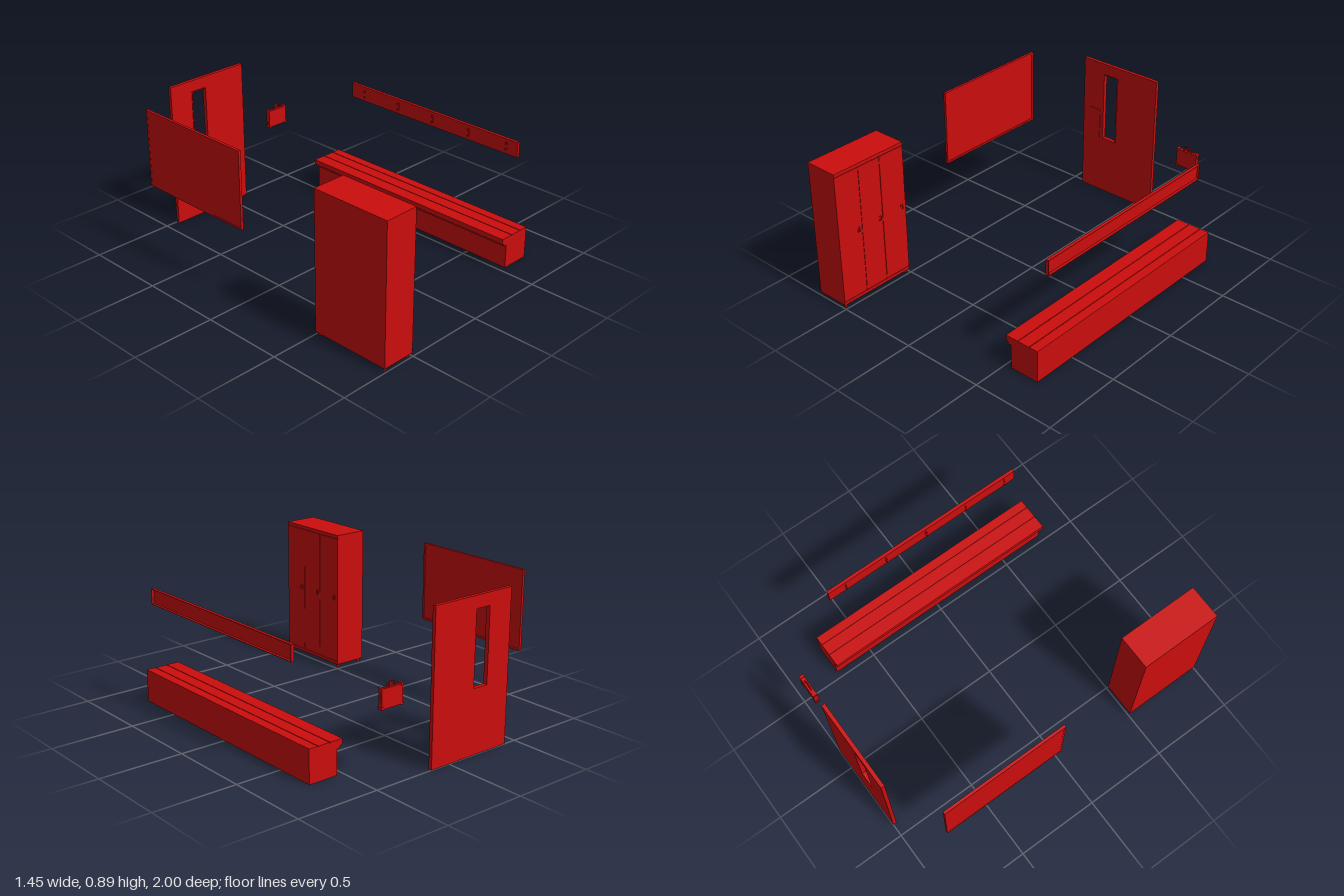
import * as THREE from 'three';

const red = new THREE.MeshStandardMaterial({ color: 0xcc0d0d, side: THREE.DoubleSide });

function add(parent, name, geometry) {
  const mesh = new THREE.Mesh(geometry, red);
  mesh.name = name;
  parent.add(mesh);
  return mesh;
}

// Box given by its limits on each axis
function block(parent, name, x0, x1, y0, y1, z0, z1) {
  const mesh = add(parent, name, new THREE.BoxGeometry(x1 - x0, y1 - y0, z1 - z0));
  mesh.position.set((x0 + x1) / 2, (y0 + y1) / 2, (z0 + z1) / 2);
  return mesh;
}

function tube(parent, name, points, radius, segments = 12) {
  const curve = new THREE.CatmullRomCurve3(points.map(p => new THREE.Vector3(...p)));
  return add(parent, name, new THREE.TubeGeometry(curve, segments, radius, 6));
}

function polygon(points) {
  return new THREE.Shape(points.map(p => new THREE.Vector2(...p)));
}

function rect(x0, x1, y0, y1) {
  return [[x0, y0], [x1, y0], [x1, y1], [x0, y1]];
}

// Profile in x/y, extruded from z0 to z1
function slab(parent, name, shape, z0, z1) {
  const geometry = new THREE.ExtrudeGeometry(shape, { depth: z1 - z0, bevelEnabled: false });
  geometry.translate(0, 0, z0);
  return add(parent, name, geometry);
}

function group(root, name) {
  const g = new THREE.Group();
  g.name = name;
  root.add(g);
  return g;
}

function buildLocker(root) {
  const g = group(root, 'locker');
  block(g, 'lockerBody', -0.712, -0.511, 0.027, 0.863, 0.507, 1);
  block(g, 'lockerTopTrim', -0.515, -0.505, 0.843, 0.863, 0.507, 1);
  block(g, 'lockerBottomTrim', -0.515, -0.505, 0.027, 0.046, 0.507, 1);
  // three doors, each with hinge pins and a latch
  const edges = [0.507, 0.68, 0.833, 1];
  const latches = [0.537, 0.7, 0.858];
  for (let i = 0; i < 3; i++) {
    const gap = i === 1 ? 0.002 : 0.001;
    block(g, 'lockerDoor', -0.511, -0.505, 0.049, 0.84, edges[i] + (i ? gap : 0), edges[i + 1] - (i < 2 ? 0.0015 : 0));
    const z = latches[i];
    block(g, 'latchPlate', -0.505, -0.502, 0.446, 0.476, z - 0.007, z + 0.007);
    tube(g, 'latchPull', [[-0.504, 0.473, z], [-0.497, 0.47, z], [-0.495, 0.457, z], [-0.503, 0.45, z]], 0.003);
  }
  for (const z of [0.68, 0.833]) {
    for (const y of [0.08, 0.44, 0.815]) {
      const pin = add(g, 'hinge', new THREE.CylinderGeometry(0.002, 0.002, 0.045, 8));
      pin.position.set(-0.505, y, z);
    }
  }
  for (const x of [-0.693, -0.523]) {
    for (const z of [0.525, 0.982]) {
      const foot = add(g, 'lockerFoot', new THREE.CylinderGeometry(0.01, 0.009, 0.024, 16));
      foot.position.set(x, 0.017, z);
    }
  }
}

function buildBoard(root) {
  const g = group(root, 'wallBoard');
  const [y0, y1, z0, z1, w] = [0.423, 0.891, -0.818, -0.04, 0.012];
  block(g, 'boardPanel', -0.725, -0.714, y0 + w, y1 - w, z0 + w, z1 - w);
  for (const y of [y0, y1 - w]) block(g, 'boardFrameRail', -0.726, -0.71, y, y + w, z0, z1);
  for (const z of [z0, z1 - w]) block(g, 'boardFrameStile', -0.726, -0.71, y0 + w, y1 - w, z, z + w);
}

function buildDoor(root) {
  const g = group(root, 'door');
  const leaf = polygon(rect(-0.423, 0.125, 0.003, 0.89));
  leaf.holes.push(polygon(rect(-0.27, -0.163, 0.377, 0.822)));
  slab(g, 'doorLeaf', leaf, -1, -0.978);
  // narrow lining around the window opening
  const lining = polygon(rect(-0.27, -0.163, 0.377, 0.822));
  lining.holes.push(polygon(rect(-0.265, -0.167, 0.382, 0.817)));
  slab(g, 'windowLining', lining, -1, -0.974);
  block(g, 'doorPlate', -0.375, -0.292, 0.375, 0.57, -0.978, -0.974);
}

function buildCase(root) {
  const g = group(root, 'carryCase');
  block(g, 'caseBody', 0.318, 0.458, 0.414, 0.522, -0.98, -0.954);
  block(g, 'caseSeam', 0.317, 0.459, 0.413, 0.523, -0.968, -0.966);
  // corner guards
  for (const x of [0.315, 0.445]) {
    for (const y of [0.411, 0.513]) block(g, 'cornerGuard', x, x + 0.016, y, y + 0.014, -0.982, -0.952);
  }
  // handle and clasps
  tube(g, 'caseHandle', [[0.362, 0.522, -0.967], [0.363, 0.537, -0.967], [0.375, 0.547, -0.967],
    [0.402, 0.547, -0.967], [0.414, 0.537, -0.967], [0.415, 0.522, -0.967]], 0.003, 24);
  for (const x of [0.362, 0.415]) block(g, 'handleMount', x - 0.007, x + 0.007, 0.522, 0.528, -0.973, -0.961);
  block(g, 'caseClasp', 0.381, 0.396, 0.521, 0.548, -0.968, -0.966);
}

function buildCoatRail(root) {
  const g = group(root, 'coatRail');
  const [y0, y1, z0, z1] = [0.617, 0.71, -0.595, 0.693];
  // shallow tray, open toward the wall
  block(g, 'railFace', 0.701, 0.705, y0, y1, z0, z1);
  for (const y of [y0, y1 - 0.003]) block(g, 'railEdge', 0.705, 0.72, y, y + 0.003, z0, z1);
  for (const z of [z0, z1 - 0.003]) block(g, 'railEnd', 0.705, 0.72, y0 + 0.003, y1 - 0.003, z, z + 0.003);
  for (let i = 0; i < 5; i++) {
    const z = -0.483 + i * 0.275;
    block(g, 'hookPlate', 0.698, 0.701, 0.642, 0.69, z - 0.004, z + 0.004);
    for (const y of [0.645, 0.68]) {
      tube(g, 'hook', [[0.7, y, z], [0.692, y - 0.001, z], [0.687, y + 0.003, z], [0.688, y + 0.01, z]], 0.0025, 8);
    }
  }
}

function buildBench(root) {
  const g = group(root, 'bench');
  const [z0, z1, t] = [-0.738, 0.777, 0.004];
  const outline = [[0.541, 0.003], [0.541, 0.15], [0.52, 0.15], [0.52, 0.163], [0.505, 0.168], [0.505, 0.199]];
  // grooves between the three seat slats
  for (const x of [0.585, 0.662]) outline.push([x, 0.199], [x, 0.194], [x + 0.004, 0.194], [x + 0.004, 0.199]);
  outline.push([0.722, 0.199], [0.722, 0.003]);
  // hollow shell, open underneath
  const inner = [[0.722 - t, 0.003], [0.722 - t, 0.19], [0.509, 0.19], [0.509, 0.171], [0.524, 0.167],
    [0.524, 0.154], [0.541 + t, 0.154], [0.541 + t, 0.003]];
  slab(g, 'benchShell', polygon([...outline, ...inner]), z0 + t, z1 - t);
  for (const z of [z0, z1 - t]) slab(g, 'benchEnd', polygon(outline), z, z + t);
}

export function createModel() {
  const root = new THREE.Group();
  root.name = 'changingRoomFurniture';
  buildLocker(root);
  buildBoard(root);
  buildDoor(root);
  buildCase(root);
  buildCoatRail(root);
  buildBench(root);
  return root;
}
